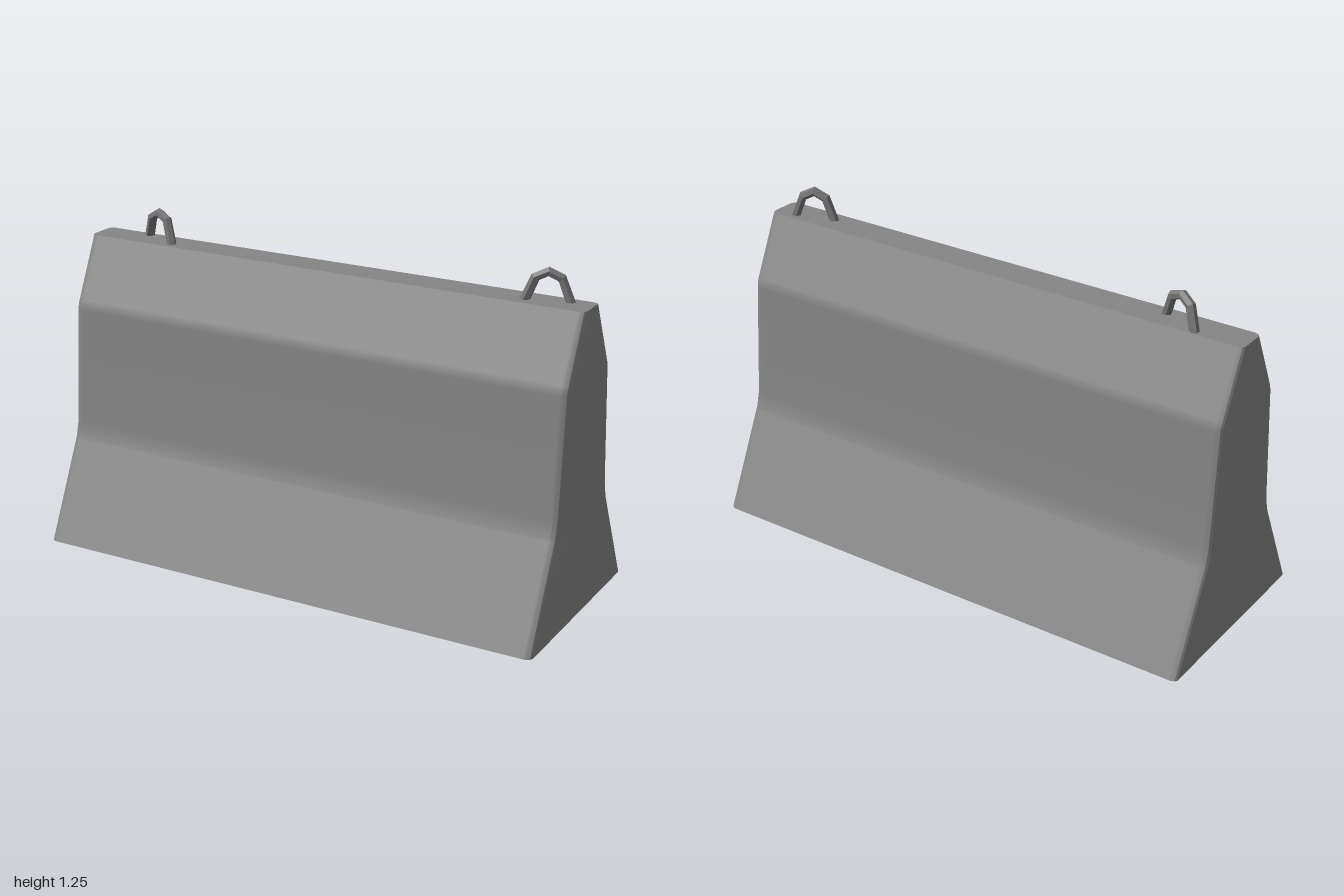
import * as THREE from 'three';
import { toCreasedNormals } from 'three/addons/utils/BufferGeometryUtils.js';

const concrete = new THREE.MeshStandardMaterial({ color: 0x868686 });
const steel = new THREE.MeshStandardMaterial({ color: 0x767676, flatShading: true });

// Half profile of the barrier from base to top: [half depth, height];
// close pairs of points keep the softened bends narrow
const PROFILE = [
  [0.407, 0], [0.2348, 0.36], [0.23, 0.37], [0.215, 0.43], [0.2142, 0.44],
  [0.1818, 0.865], [0.181, 0.875], [0.176, 0.893], [0.1717, 0.902], [0.062, 1.13],
];

// Lengthwise stations: [x, front inset, back inset], rounded off at the ends
const STATIONS = [
  [-1, 0.018, 0.014], [-0.994, 0.007, 0.005], [-0.98, 0, 0], [-0.972, 0, 0],
  [0.972, 0, 0], [0.98, 0, 0], [0.994, 0.008, 0.004], [1, 0.02, 0.011],
];

function barrierGeometry() {
  const n = PROFILE.length, ring = 2 * n;
  const positions = [], index = [];
  const quad = (a, b, c, d) => index.push(a, b, c, a, c, d);

  // Each ring climbs the front and descends the back
  for (const [x, front, back] of STATIONS) {
    for (const [z, y] of PROFILE) positions.push(x, y, z - front);
    for (const [z, y] of [...PROFILE].reverse()) positions.push(x, y, back - z);
  }
  for (let s = 0; s < STATIONS.length - 1; s++) {
    for (let i = 0; i < ring; i++) {
      const j = (i + 1) % ring, a = s * ring, b = a + ring;
      quad(a + i, b + i, b + j, a + j);
    }
  }
  // End caps, one strip per profile step
  const end = (STATIONS.length - 1) * ring;
  for (let i = 0; i < n - 1; i++) {
    const k = ring - 1 - i;
    quad(i, i + 1, k - 1, k);
    quad(end + i, end + k, end + k - 1, end + i + 1);
  }
  const geometry = new THREE.BufferGeometry();
  geometry.setAttribute('position', new THREE.Float32BufferAttribute(positions, 3));
  geometry.setIndex(index);
  return toCreasedNormals(geometry, THREE.MathUtils.degToRad(30));
}

// Bent hexagonal bar with both feet sunk into the top
function liftingLoop(name, points) {
  const corners = points.map((p) => new THREE.Vector3(...p));
  const curve = new THREE.CatmullRomCurve3(corners, false, 'centripetal');
  // Sample exactly at the corners so the bar keeps its angular bends
  curve.getPointAt = (u, target) => curve.getPoint(u, target);
  curve.getTangentAt = (u, target) => curve.getTangent(u, target);
  const mesh = new THREE.Mesh(new THREE.TubeGeometry(curve, corners.length - 1, 0.018, 6), steel);
  mesh.name = name;
  return mesh;
}

export function createModel() {
  const model = new THREE.Group();
  model.name = 'concreteBarrier';

  const body = new THREE.Mesh(barrierGeometry(), concrete);
  body.name = 'barrierBody';
  model.add(body);

  model.add(liftingLoop('rightLiftingLoop', [
    [-0.813, 1.11, -0.047], [-0.778, 1.208, -0.024], [-0.737, 1.232, -0.008],
    [-0.693, 1.213, 0.006], [-0.655, 1.11, 0.03],
  ]));
  model.add(liftingLoop('leftLiftingLoop', [
    [0.753, 1.11, 0.012], [0.795, 1.21, 0.009], [0.838, 1.232, -0.004],
    [0.88, 1.21, -0.02], [0.92, 1.11, -0.027],
  ]));
  return model;
}
